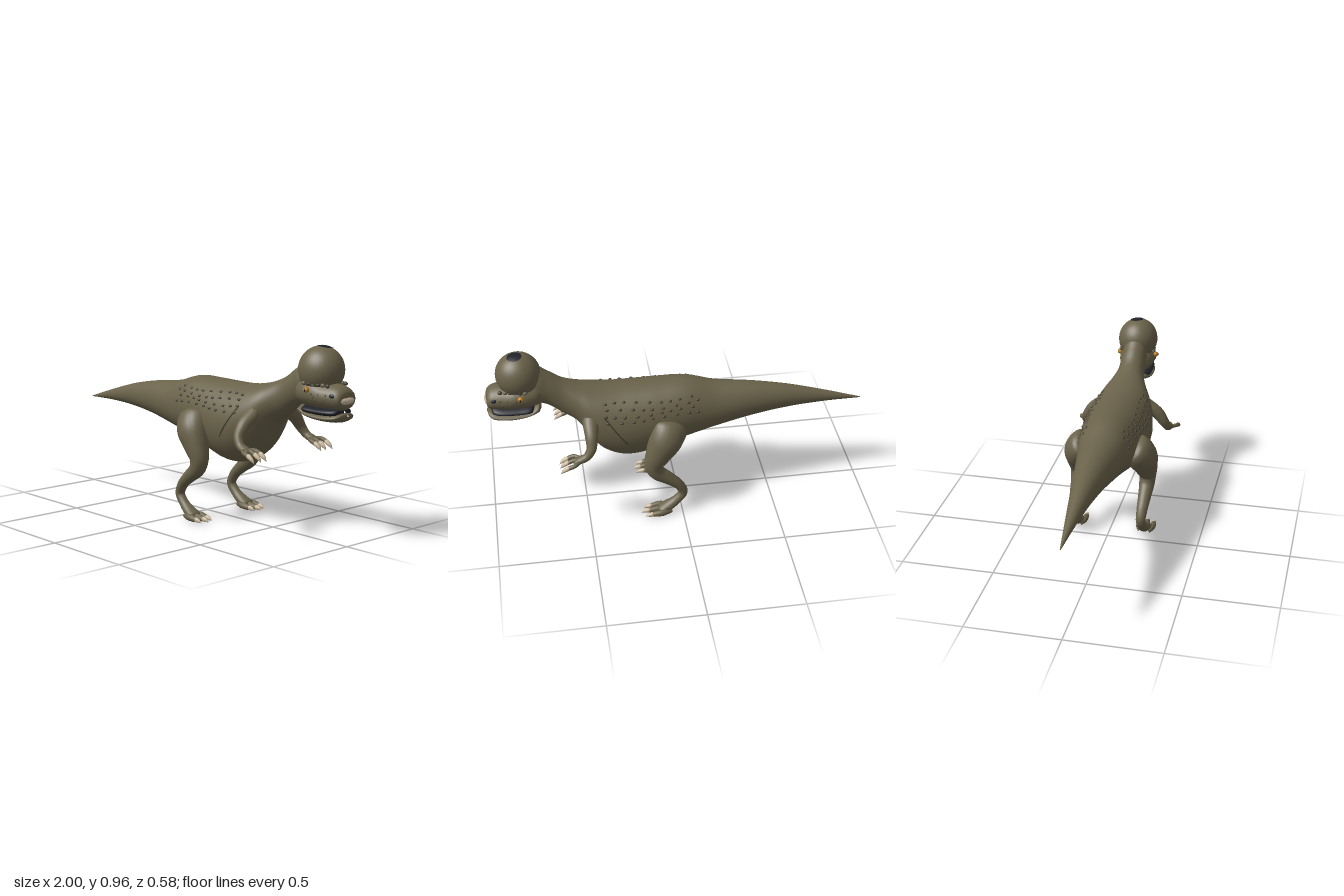
import * as THREE from 'three';

const mat = (name, color) => {
  const m = new THREE.MeshStandardMaterial({ color });
  m.name = name;
  return m;
};

// Smooth skin through rows of [x, y, z, radius in the bend plane, sideways radius]
function loft(rows, upright = false, sides = 28, steps = 6) {
  const path = new THREE.CatmullRomCurve3(rows.map(r => new THREE.Vector3(r[0], r[1], r[2])));
  const size = new THREE.CatmullRomCurve3(rows.map(r => new THREE.Vector3(r[3], r[4], 0)), false, 'catmullrom', 0.5);
  const n = (rows.length - 1) * steps, pos = [], idx = [];
  for (let i = 0; i <= n; i++) {
    const c = path.getPoint(i / n), s = size.getPoint(i / n);
    const T = upright ? new THREE.Vector3(1, 0, 0) : path.getTangent(i / n);
    const B = new THREE.Vector3(0, 0, 1).addScaledVector(T, -T.z).normalize();
    const N = B.clone().cross(T);
    for (let j = 0; j < sides; j++) {
      const a = j / sides * Math.PI * 2;
      const p = c.clone().addScaledVector(N, Math.max(s.x, 0.0002) * Math.cos(a))
        .addScaledVector(B, Math.max(s.y, 0.0002) * Math.sin(a));
      pos.push(p.x, p.y, p.z);
      if (i < n) {
        const k = i * sides + j, l = i * sides + (j + 1) % sides;
        idx.push(k, l, k + sides, l, l + sides, k + sides);
      }
    }
  }
  const g = new THREE.BufferGeometry();
  g.setAttribute('position', new THREE.Float32BufferAttribute(pos, 3));
  g.setIndex(idx);
  g.computeVertexNormals();
  return g;
}

// Rows of [x, top, bottom, half width] turned into upright sections
const sections = rows => rows.map(([x, t, b, w]) => [x, (t + b) / 2, 0, (t - b) / 2, w]);

const BODY = sections([
  [-1, 0.508, 0.504, 0.002], [-0.8, 0.57, 0.507, 0.028], [-0.6, 0.625, 0.498, 0.055],
  [-0.4, 0.662, 0.472, 0.085], [-0.2, 0.686, 0.43, 0.118], [-0.05, 0.727, 0.388, 0.145],
  [0.1, 0.728, 0.342, 0.168], [0.22, 0.725, 0.31, 0.18], [0.32, 0.724, 0.318, 0.18],
  [0.41, 0.732, 0.368, 0.166], [0.47, 0.743, 0.445, 0.142], [0.53, 0.76, 0.54, 0.105],
  [0.6, 0.79, 0.592, 0.078], [0.67, 0.84, 0.645, 0.07], [0.74, 0.88, 0.68, 0.065], [0.78, 0.8, 0.76, 0.01],
]);

// Point on the flank at a given x and y
function flank(x, y, side) {
  const i = Math.max(1, BODY.findIndex(r => r[0] >= x)), a = BODY[i - 1], b = BODY[i];
  const r = a.map((v, k) => v + (b[k] - v) * (x - a[0]) / (b[0] - a[0]));
  const q = (y - r[1]) / r[3];
  return new THREE.Vector3(x, y, side * r[4] * Math.sqrt(Math.max(0, 1 - q * q)));
}

export function createModel() {
  const hide = mat('olive hide', 0x6a624a), dark = mat('dark scales', 0x454032);
  const horn = mat('cream horn', 0xc9b79c), black = mat('blue black', 0x20222a), amber = mat('amber', 0xb57a1e);
  const model = new THREE.Group();
  const add = (name, geo, material, parent = model) => {
    const m = new THREE.Mesh(geo, material);
    m.name = name;
    parent.add(m);
    return m;
  };
  const ball = (name, material, parent, p, r) => {
    const m = add(name, new THREE.SphereGeometry(1, 12, 8), material, parent);
    m.position.set(...p);
    m.scale.set(...r);
    return m;
  };

  add('bodyAndTail', loft(BODY, true, 40), hide);

  // Head
  const head = new THREE.Group();
  head.name = 'head';
  model.add(head);
  const dome = add('skullDome', new THREE.SphereGeometry(1, 36, 24), hide, head);
  dome.position.set(0.817, 0.843, 0);
  dome.scale.set(0.116, 0.116, 0.11);
  const patch = add('crownPatch', new THREE.SphereGeometry(1, 11, 4, 0, Math.PI * 2, 0, 0.34), black, head);
  patch.position.copy(dome.position);
  patch.scale.set(0.118, 0.118, 0.113);
  patch.rotation.set(-0.1, 0, -0.11);
  add('muzzle', loft(sections([
    [0.69, 0.77, 0.7, 0.03], [0.72, 0.8, 0.668, 0.078], [0.77, 0.81, 0.658, 0.096], [0.83, 0.805, 0.656, 0.1],
    [0.88, 0.79, 0.655, 0.094], [0.93, 0.783, 0.656, 0.082], [0.965, 0.772, 0.66, 0.072],
    [0.985, 0.752, 0.672, 0.055], [0.992, 0.72, 0.7, 0.005]]), true), hide, head);
  add('mouth', loft(sections([
    [0.74, 0.672, 0.635, 0.01], [0.76, 0.675, 0.63, 0.078], [0.83, 0.672, 0.625, 0.085],
    [0.92, 0.672, 0.625, 0.078], [0.96, 0.67, 0.63, 0.055], [0.97, 0.66, 0.64, 0.005]]), true), black, head);
  add('lowerJaw', loft(sections([
    [0.71, 0.66, 0.63, 0.02], [0.725, 0.672, 0.622, 0.066], [0.77, 0.65, 0.614, 0.082], [0.84, 0.643, 0.603, 0.088],
    [0.91, 0.643, 0.6, 0.084], [0.96, 0.648, 0.604, 0.07], [0.982, 0.65, 0.618, 0.045],
    [0.99, 0.642, 0.632, 0.004]]), true), hide, head);
  ball('beak', horn, head, [0.958, 0.709, 0], [0.042, 0.028, 0.071]);
  for (const s of [1, -1]) {
    ball('eye', amber, head, [0.815, 0.754, s * 0.104], [0.016, 0.014, 0.015]);
    ball('pupil', black, head, [0.817, 0.754, s * 0.115], [0.005, 0.008, 0.005]);
    ball('nostril', black, head, [0.948, 0.733, s * 0.071], [0.017, 0.011, 0.008]);
    // Knobs over the brow and across the cheek
    for (let i = 0; i < 6; i++)
      ball('browKnob', i % 2 ? dark : hide, head, [0.79 + i * 0.025, 0.783 - i * 0.001, s * (0.094 - i * 0.006)], [0.012, 0.01, 0.01]);
    for (let i = 0; i < 7; i++)
      ball('cheekKnob', dark, head, [0.84 + i * 0.013, 0.735 - (i % 3) * 0.014, s * (0.097 - i * 0.0028)], [0.005, 0.005, 0.005]);
  }

  for (const s of [1, -1]) {
    const side = s > 0 ? 'left' : 'right';
    const flip = rows => rows.map(([x, y, z, a, b]) => [x, y, z * s, a, b]);

    // Arm with three clawed fingers
    const arm = new THREE.Group();
    arm.name = side + 'Arm';
    model.add(arm);
    add('arm', loft(flip([
      [0.46, 0.63, 0.08, 0.03, 0.03], [0.468, 0.59, 0.125, 0.042, 0.036], [0.472, 0.545, 0.185, 0.034, 0.034],
      [0.478, 0.49, 0.222, 0.026, 0.028], [0.505, 0.452, 0.236, 0.021, 0.022], [0.54, 0.438, 0.237, 0.018, 0.027],
      [0.568, 0.428, 0.237, 0.011, 0.026], [0.578, 0.425, 0.237, 0, 0]]), false, 18), hide, arm);
    for (const z of [0.196, 0.232, 0.279]) {
      add('finger', loft(flip([
        [0.535, 0.438, 0.236 + (z - 0.236) * 0.3, 0.01, 0.01], [0.57, 0.435, z, 0.011, 0.011],
        [0.605, 0.422, z, 0.01, 0.011], [0.612, 0.42, z, 0, 0]]), false, 10), hide, arm);
      add('fingerClaw', loft(flip([
        [0.592, 0.427, z, 0.004, 0.004], [0.602, 0.424, z, 0.012, 0.012],
        [0.628, 0.408, z, 0.009, 0.01], [0.645, 0.39, z, 0, 0]]), false, 10), horn, arm);
    }

    // Leg with three clawed toes
    const leg = new THREE.Group();
    leg.name = side + 'Leg';
    model.add(leg);
    add('leg', loft(flip([
      [0.045, 0.552, 0.13, 0.02, 0.02], [0.052, 0.535, 0.145, 0.085, 0.065], [0.085, 0.47, 0.172, 0.09, 0.082],
      [0.125, 0.395, 0.187, 0.07, 0.064], [0.152, 0.325, 0.192, 0.051, 0.047], [0.135, 0.275, 0.191, 0.043, 0.042],
      [0.075, 0.225, 0.19, 0.034, 0.035], [0.02, 0.175, 0.188, 0.027, 0.03], [-0.005, 0.12, 0.186, 0.024, 0.026],
      [0.03, 0.072, 0.188, 0.025, 0.026], [0.075, 0.04, 0.19, 0.027, 0.034], [0.12, 0.024, 0.192, 0.019, 0.036],
      [0.14, 0.018, 0.192, 0, 0]]), false, 24), hide, leg);
    for (const z of [0.155, 0.191, 0.229]) {
      const reach = z === 0.191 ? 0.015 : 0;
      add('toe', loft(flip([
        [0.062, 0.016, 0.192 + (z - 0.192) * 0.5, 0.01, 0.012], [0.11, 0.02, z, 0.018, 0.016],
        [0.165 + reach, 0.015, z, 0.013, 0.013], [0.175 + reach, 0.014, z, 0, 0]]), false, 12), hide, leg);
      add('toeClaw', loft(flip([
        [0.155 + reach, 0.018, z, 0.005, 0.005], [0.167 + reach, 0.016, z, 0.013, 0.012],
        [0.19 + reach, 0.012, z, 0.009, 0.008], [0.208 + reach, 0.005, z, 0, 0]]), false, 10), horn, leg);
    }

    // Scale bumps along the flank
    for (let row = 0; row < 4; row++)
      for (let i = 0; i < 9; i++) {
        const x = -0.09 + i * 0.058 + (row % 2) * 0.025 + Math.sin(i * 5 + row * 3) * 0.01;
        const p = flank(x, 0.6 + row * 0.026 + Math.sin(i * 7 + row) * 0.007, s);
        ball('flankScale', dark, model, p.toArray(), [0.01, 0.007, 0.007]);
      }
    // Scar behind the shoulder
    const scar = [0, 0.25, 0.5, 0.75, 1].map(t => flank(0.285 + t * 0.115, 0.465 + t * 0.165, s));
    add('scar', new THREE.TubeGeometry(new THREE.CatmullRomCurve3(scar), 20, 0.004, 6), dark);
  }
  return model;
}
